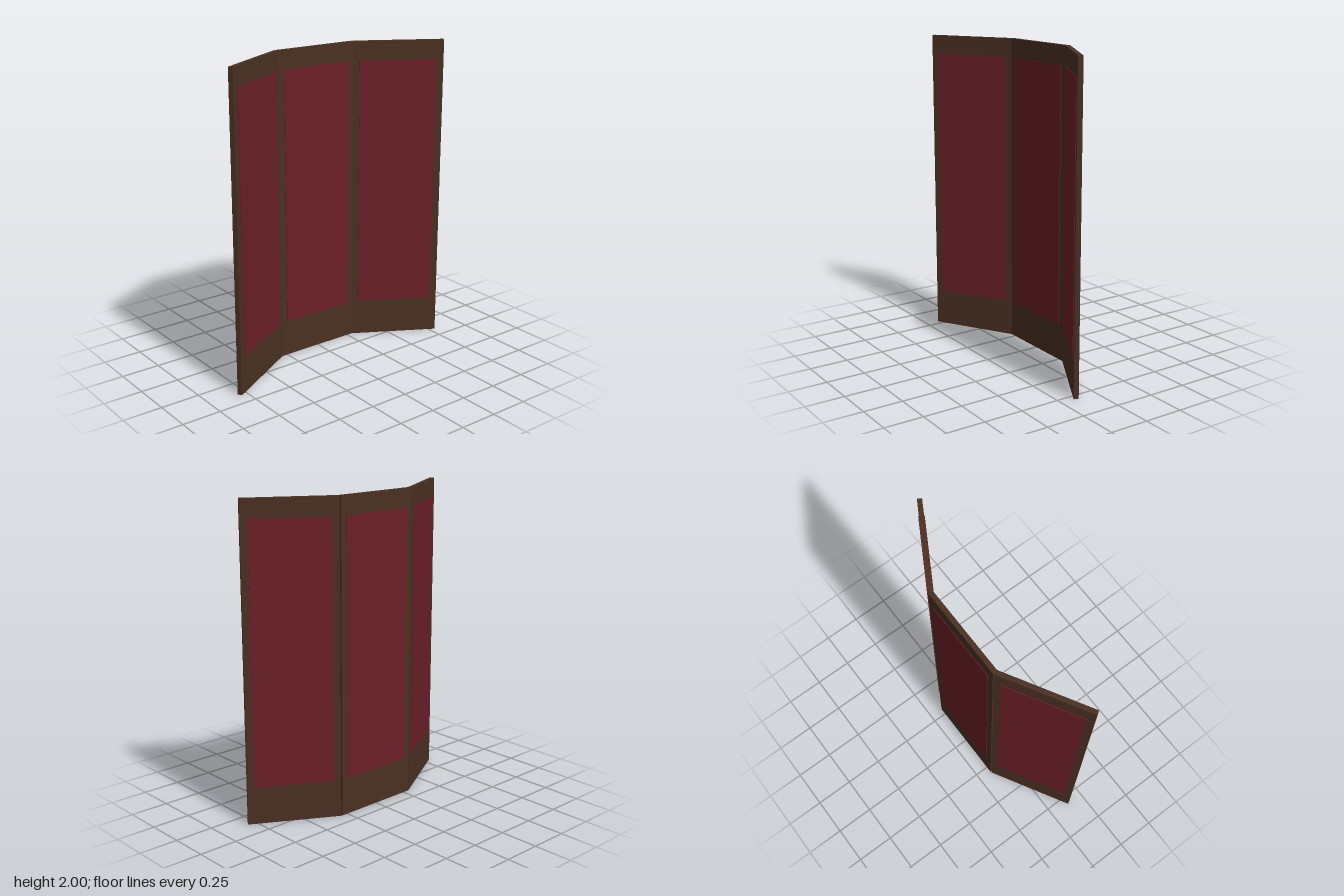
import * as THREE from 'three';

const W = 0.584, H = 2, T = 0.03;          // one leaf of the screen
const STILE = 0.044, TOP = 0.12, BOTTOM = 0.24; // frame member widths
const CLOTH_T = 0.038;                      // cloth stands slightly proud
const FOLD = Math.PI / 6;
const BACK_Z = -0.143;

const wood = new THREE.MeshStandardMaterial({ color: 0x4a3022 });
const cloth = new THREE.MeshStandardMaterial({ color: 0x6b1f28 });

function box(name, w, h, d, x, y, material) {
  const mesh = new THREE.Mesh(new THREE.BoxGeometry(w, h, d), material);
  mesh.name = name;
  mesh.position.set(x, y, 0);
  return mesh;
}

// One leaf: two stiles, two rails and the cloth, centred on its own x
function createLeaf() {
  const leaf = new THREE.Group();
  const innerW = W - 2 * STILE;
  for (const [name, s] of [['leftStile', 1], ['rightStile', -1]]) {
    leaf.add(box(name, STILE, H, T, s * (W - STILE) / 2, H / 2, wood));
  }
  leaf.add(box('topRail', innerW, TOP, T, 0, H - TOP / 2, wood));
  leaf.add(box('bottomRail', innerW, BOTTOM, T, 0, BOTTOM / 2, wood));
  const clothH = H - TOP - BOTTOM;
  leaf.add(box('clothPanel', innerW, clothH, CLOTH_T, 0, BOTTOM + clothH / 2, cloth));
  return leaf;
}

export function createModel() {
  const screen = new THREE.Group();
  screen.name = 'foldingScreen';

  const centre = createLeaf();
  centre.name = 'centreLeaf';
  centre.position.z = BACK_Z;
  screen.add(centre);

  // Side leaves swing forward from the edges of the centre leaf
  for (const [name, s] of [['leftLeaf', 1], ['rightLeaf', -1]]) {
    const leaf = createLeaf();
    leaf.name = name;
    leaf.rotation.y = -s * FOLD;
    leaf.position.set(
      s * (W / 2) * (1 + Math.cos(FOLD)), 0, BACK_Z + (W / 2) * Math.sin(FOLD));
    screen.add(leaf);
  }
  return screen;
}
